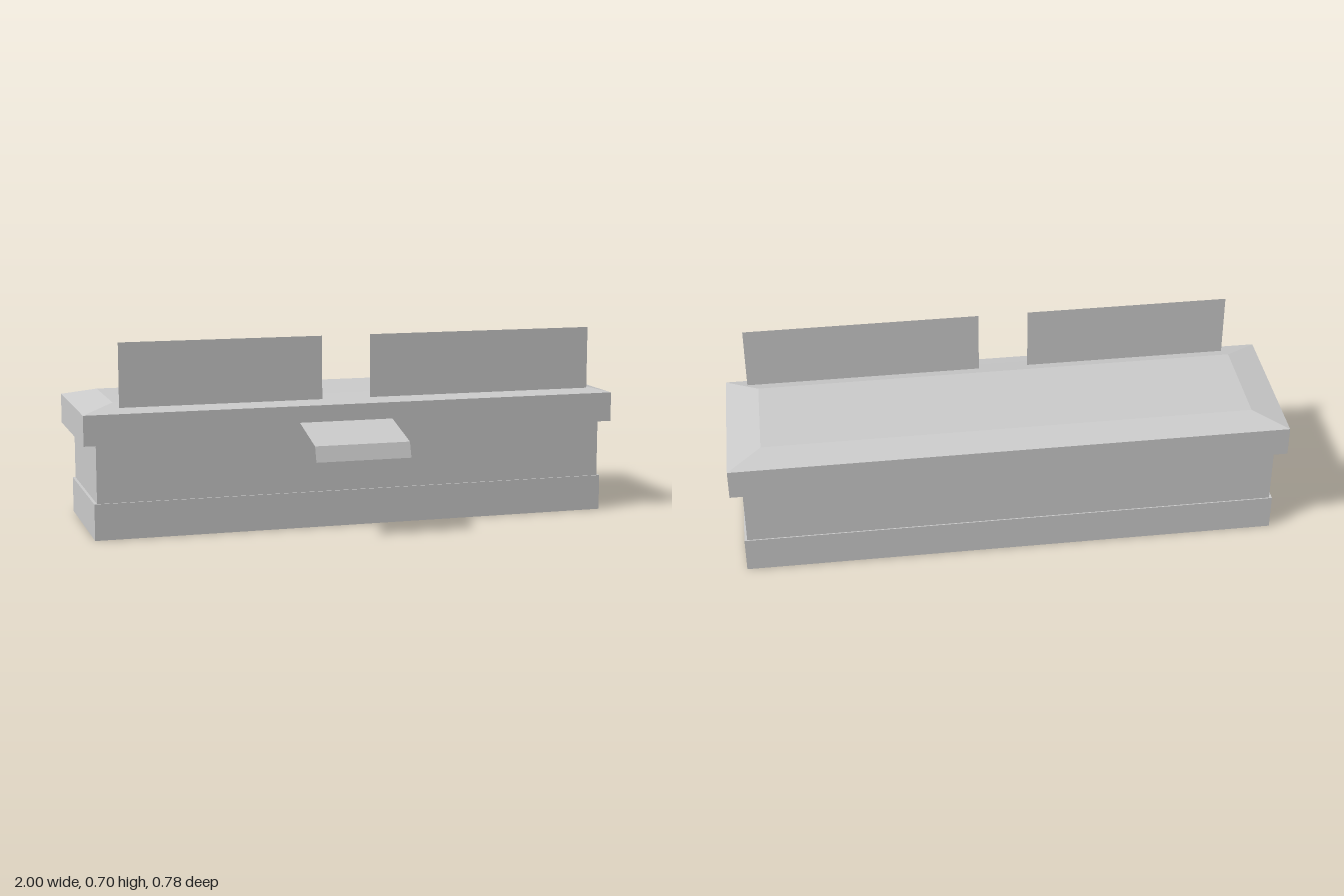
import * as THREE from 'three';

const material = new THREE.MeshStandardMaterial({
  color: 0xcccccc, flatShading: true, side: THREE.DoubleSide,
});

// Flat-faced mesh from quads whose corners run anticlockwise from the front
function quadMesh(name, quads) {
  const points = [];
  for (const [a, b, c, d] of quads) points.push(...a, ...b, ...c, ...a, ...c, ...d);
  const geometry = new THREE.BufferGeometry();
  geometry.setAttribute('position', new THREE.Float32BufferAttribute(points, 3));
  geometry.computeVertexNormals();
  const mesh = new THREE.Mesh(geometry, material);
  mesh.name = name;
  return mesh;
}

// Rectangle at height y, anticlockwise seen from above
const ring = ([y, halfX, zBack, zFront]) => [
  [-halfX, y, zFront], [halfX, y, zFront], [halfX, y, zBack], [-halfX, y, zBack],
];

// Stack of rectangular cross-sections joined by quads
function loft(name, sections, capTop = false) {
  const rings = sections.map(ring);
  const quads = [];
  for (let i = 0; i < rings.length - 1; i++) {
    for (let j = 0; j < 4; j++) {
      const k = (j + 1) % 4;
      quads.push([rings[i][j], rings[i][k], rings[i + 1][k], rings[i + 1][j]]);
    }
  }
  if (capTop) quads.push(rings[rings.length - 1]);
  return quadMesh(name, quads);
}

export function createModel() {
  const model = new THREE.Group();
  model.name = 'shopBuilding';

  // Hollow building shell, open underneath: [y, half width, back z, front z]
  const base = [0.131, 0.965, -0.378, 0.154];
  const wallBottom = [0.131, 0.955, -0.374, 0.149];
  const wallTop = [0.341, 0.955, -0.374, 0.149];
  const eave = [0.341, 1, -0.391, 0.167];
  model.add(
    loft('plinth', [[0, 0.965, -0.378, 0.154], base, wallBottom]),
    loft('walls', [wallBottom, wallTop]),
    loft('roof', [wallTop, eave, [0.45, 1, -0.391, 0.167], [0.478, 0.88, -0.295, 0.07]], true),
  );

  // Thin blank sign boards standing on the front slope of the roof
  for (const [name, x0, x1] of [['rightSignBoard', -0.865, -0.122], ['leftSignBoard', 0.06, 0.92]]) {
    const board = new THREE.Mesh(new THREE.PlaneGeometry(x1 - x0, 0.232), material);
    board.name = name;
    board.position.set((x0 + x1) / 2, 0.58, 0.117);
    model.add(board);
  }

  // Entrance awning: sloping sheet with a front flap, profile as [y, z]
  const profile = [[0.394, 0.15], [0.337, 0.368], [0.282, 0.386]];
  const x0 = -0.22, x1 = 0.13;
  const strips = [];
  for (let i = 0; i < profile.length - 1; i++) {
    const top = profile[i], low = profile[i + 1];
    strips.push([[x0, ...low], [x1, ...low], [x1, ...top], [x0, ...top]]);
  }
  model.add(quadMesh('awning', strips));

  return model;
}
